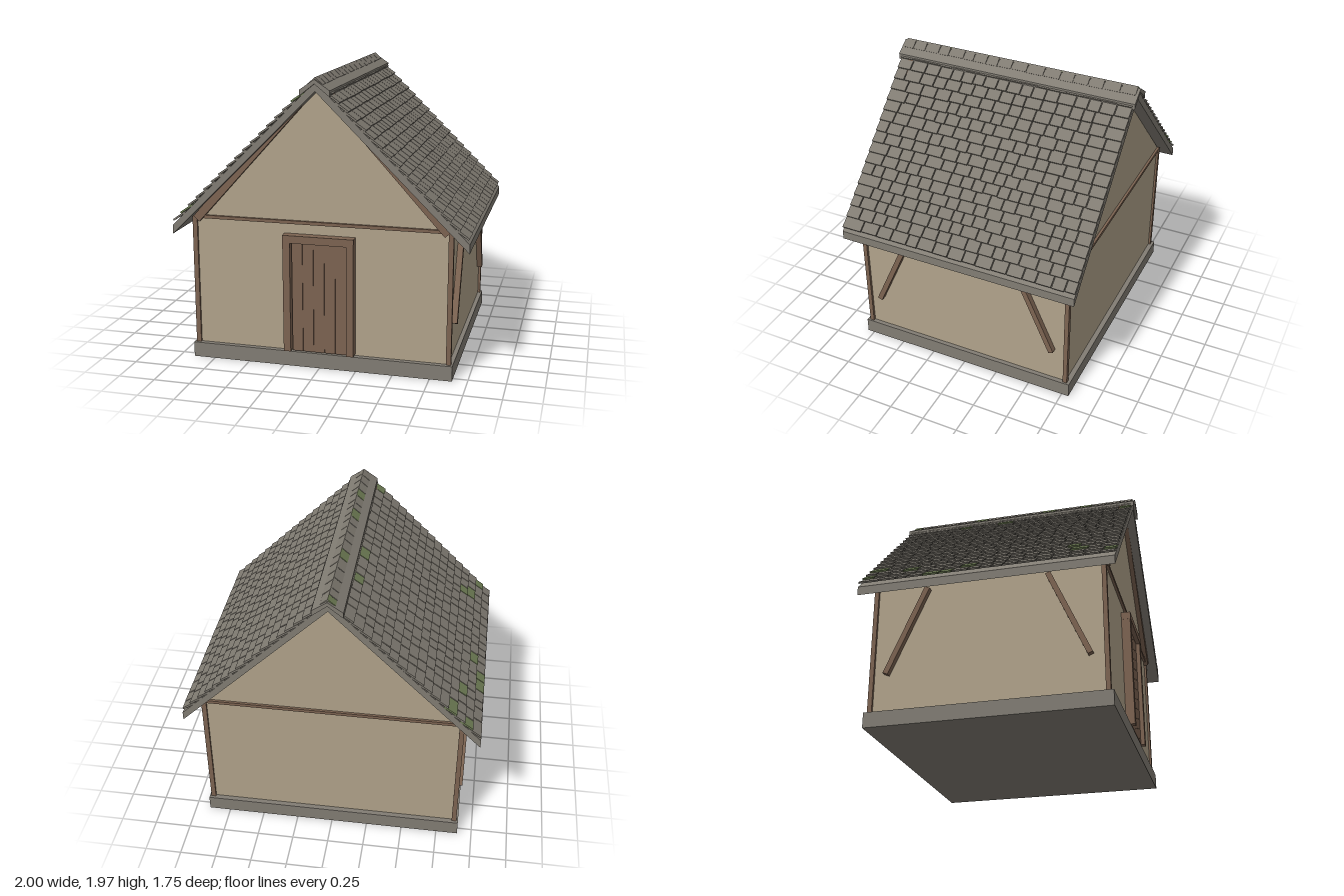
import * as THREE from 'three';
import { mergeGeometries } from 'three/addons/utils/BufferGeometryUtils.js';

const material = (name, color) => {
  const m = new THREE.MeshStandardMaterial({ color });
  m.name = name;
  return m;
};

export function createModel() {
  const house = new THREE.Group();
  house.name = 'cottage';
  const plaster = material('plaster', 0xb1a38b);
  const wood = material('wood', 0x7d6452);
  const stone = material('stone', 0x827d74);
  const slate = material('slate', 0x807b72);
  const moss = material('moss', 0x6f7d55);

  const add = (name, geometry, mat) => {
    const mesh = new THREE.Mesh(geometry, mat);
    mesh.name = name;
    house.add(mesh);
    return mesh;
  };
  // box given by its lower and upper limits on each axis
  const block = (name, mat, x0, x1, y0, y1, z0, z1) =>
    add(name, new THREE.BoxGeometry(x1 - x0, y1 - y0, z1 - z0)
      .translate((x0 + x1) / 2, (y0 + y1) / 2, (z0 + z1) / 2), mat);
  // outline in x and y, extruded along z and centred
  const prism = (name, mat, points, depth) => {
    const shape = new THREE.Shape(points.map(([x, y]) => new THREE.Vector2(x, y)));
    const g = new THREE.ExtrudeGeometry(shape, { depth, bevelEnabled: false });
    return add(name, g.translate(0, 0, -depth / 2), mat);
  };

  // base and walls with gables
  block('foundation', stone, -0.9, 0.9, 0, 0.103, -0.8, 0.8);
  prism('walls', plaster,
    [[-0.87, 0.1], [0.87, 0.1], [0.87, 1.01], [0, 1.885], [-0.87, 1.01]], 1.53);

  for (const s of [-1, 1]) {
    // corner posts, cross beams and side braces
    const [a, b] = s > 0 ? [0.855, 0.888] : [-0.888, -0.855];
    block('cornerPost', wood, a, b, 0.1, 1.0, 0.75, 0.78);
    block('cornerPost', wood, a, b, 0.1, 1.0, -0.78, -0.75);
    const [c, d] = s > 0 ? [0.755, 0.782] : [-0.782, -0.755];
    block('crossBeam', wood, -0.87, 0.87, 0.99, 1.012, c, d);

    for (const t of [-1, 1]) {
      const brace = add('sideBrace', new THREE.BoxGeometry(0.05, 0.64, 0.036), wood);
      brace.position.set(s * 0.884, 0.645, t * 0.535);
      brace.rotation.x = -t * 0.42;
    }

    // sloping timber under the front gable
    const rake = add('gableTimber', new THREE.BoxGeometry(0.055, 1.24, 0.035), wood);
    rake.position.set(s * 0.4375, 1.448, 0.78);
    rake.rotation.z = s * Math.atan2(0.835, 0.924);
  }

  // door frame and planks
  for (const s of [-1, 1])
    block('doorJamb', wood, s * 0.2165 - 0.0245, s * 0.2165 + 0.0245, 0.112, 0.9, 0.76, 0.825);
  block('doorLintel', wood, -0.242, 0.242, 0.87, 0.922, 0.76, 0.828);
  for (let i = 0; i < 5; i++) {
    const x = (i - 2) * 0.0745;
    block('doorPlank', wood, x - 0.0362, x + 0.0362, 0.112, 0.87, 0.76, 0.798);
  }

  // roof slab and ridge cap
  prism('roofSlab', stone,
    [[-1, 0.89], [0, 1.88], [1, 0.89], [1, 0.95], [0, 1.94], [-1, 0.95]], 1.71);
  prism('ridgeCap', stone,
    [[-0.1, 1.85], [0, 1.93], [0.1, 1.85], [0.1, 1.89], [0, 1.958], [-0.1, 1.89]], 1.746);

  // roof tiles: overlapping rows of random widths
  let seed = 7;
  const random = () => (seed = (seed * 16807) % 2147483647) / 2147483647;
  const mossSpots = {
    0: [-0.39, -0.29], 1: [-0.8, -0.07, 0.83], 2: [-0.52, 0.55], 3: [-0.81, -0.76, 0.52],
    15: [-0.44, -0.1, 0.83], 17: [-0.83, -0.33, 0.27, 0.49],
  };
  const tile = (row, z0, z1) => {
    const xl = 1 - 0.0557 * row - random() * 0.004;
    const xu = Math.max(0, xl - 0.085);
    const yl = 1.94 - 0.99 * xl + 0.037;
    const yu = 1.94 - 0.99 * xu + (row === 17 ? 0.03 : 0.012);
    return new THREE.BoxGeometry(Math.hypot(xl - xu, yl - yu), 0.012, z1 - z0)
      .translate(0, -0.006, 0)
      .rotateZ(Math.atan2(yl - yu, xl - xu))
      .translate((xl + xu) / 2, (yl + yu) / 2, (z0 + z1) / 2);
  };
  for (const side of [1, -1]) {
    const plain = [], mossy = [];
    for (let row = 0; row < 18; row++) {
      let z = -0.855;
      while (z < 0.85) {
        let end = z + 0.075 + random() * 0.05;
        if (end > 0.8) end = 0.855;
        const g = tile(row, z, end - (end < 0.85 ? 0.007 : 0));
        const from = z, to = end;
        // the left-hand slope is turned about y, so its z is reversed
        const grown = side < 0 && (mossSpots[row] || []).some((m) => -m >= from && -m < to);
        if (side < 0) g.rotateY(Math.PI);
        (grown ? mossy : plain).push(g);
        z = end;
      }
    }
    add('roofTiles', mergeGeometries(plain), slate);
    if (mossy.length) add('mossyTiles', mergeGeometries(mossy), moss);
  }
  return house;
}
